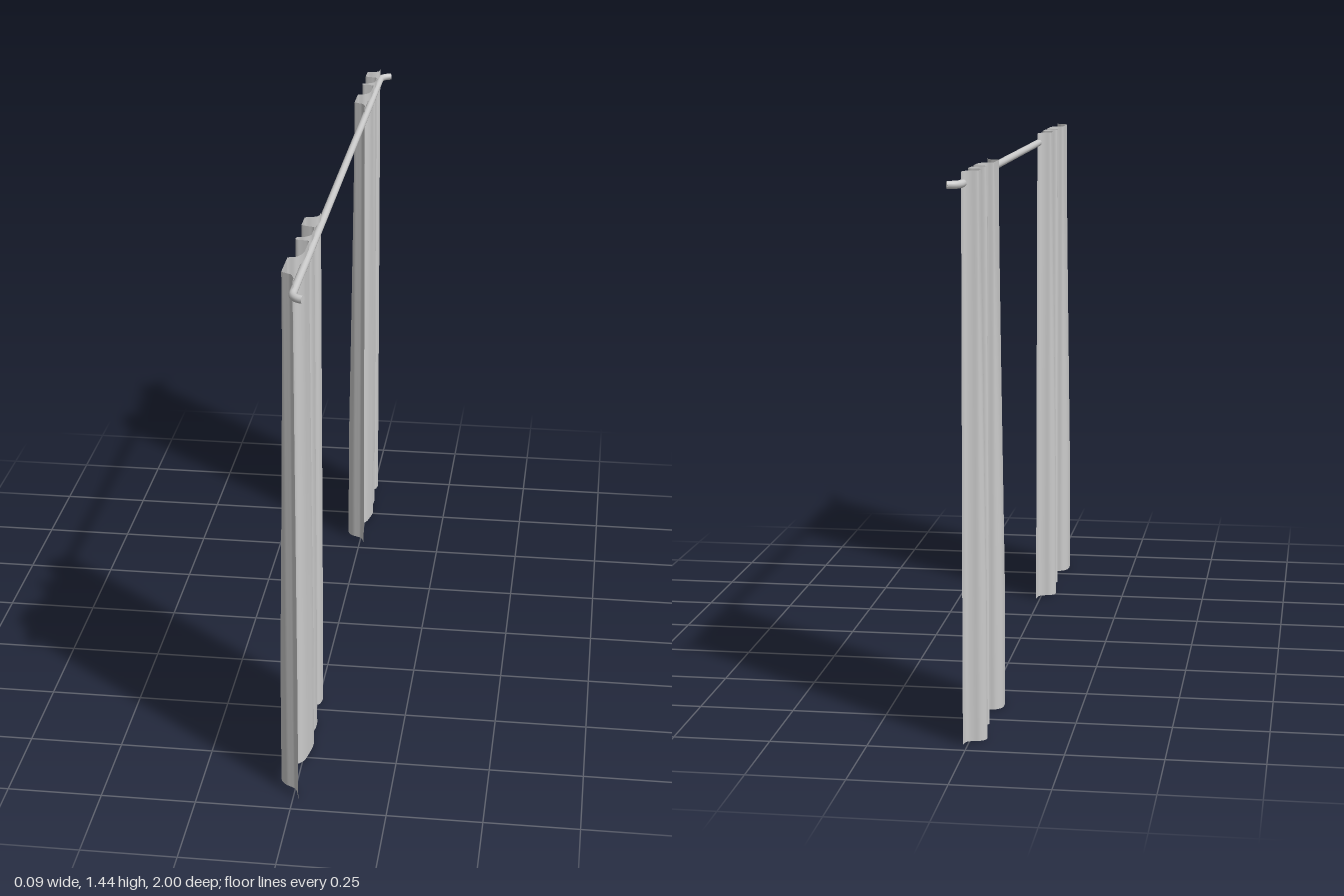
import * as THREE from 'three';

const material = new THREE.MeshStandardMaterial({ color: 0xcccccc, side: THREE.DoubleSide });
const HEIGHT = 1.44;

// Hem outline of one curtain as [z, x]: broad valleys with steep pleats
const hem = new THREE.CatmullRomCurve3([
  [0.95, 0.014], [0.925, 0.008], [0.905, 0], [0.897, -0.012], [0.888, -0.027],
  [0.87, -0.041], [0.835, -0.045], [0.805, -0.041], [0.787, -0.026], [0.782, -0.008],
  [0.765, 0.004], [0.725, 0.013], [0.685, 0.018], [0.664, 0.014], [0.658, -0.006],
  [0.655, -0.022], [0.645, -0.029], [0.637, -0.022], [0.633, -0.006], [0.62, 0.007],
  [0.585, 0.013], [0.558, 0.009], [0.551, -0.008], [0.543, -0.026], [0.525, -0.038],
  [0.5, -0.04], [0.484, -0.026], [0.479, -0.008], [0.47, 0.006], [0.44, 0.012],
].map(([z, x]) => new THREE.Vector3(x, 0, z)), false, 'centripetal');

// Hanging sheet: the pleats are pressed flatter towards the top
function curtain(name, zStart, zEnd) {
  const columns = 116;
  const geometry = new THREE.PlaneGeometry(1, 1, columns, 8);
  const pos = geometry.attributes.position;
  for (let i = 0; i < pos.count; i++) {
    const t = pos.getX(i) + 0.5;
    const v = pos.getY(i) + 0.5;
    const p = hem.getPoint(t);
    const pressed = THREE.MathUtils.clamp(p.x, -0.026, 0.01);
    const blend = THREE.MathUtils.clamp((v - 0.22) / 0.78, 0, 1);
    const z = THREE.MathUtils.mapLinear(p.z, 0.95, 0.44, zStart, zEnd);
    pos.setXYZ(i, THREE.MathUtils.lerp(p.x, pressed, blend), v * HEIGHT, z);
  }
  geometry.computeVertexNormals();
  const mesh = new THREE.Mesh(geometry, material);
  mesh.name = name;
  return mesh;
}

// Curtain rod with both ends bent towards the wall
function curtainRod() {
  const y = 1.41, x = 0.011, r = 0.01;
  const point = (px, pz) => new THREE.Vector3(px, y, pz);
  const path = new THREE.CurvePath();
  path.add(new THREE.LineCurve3(point(0.04, 0.99), point(0.034, 0.988)));
  path.add(new THREE.QuadraticBezierCurve3(point(0.034, 0.988), point(x, 0.98), point(x, 0.95)));
  path.add(new THREE.LineCurve3(point(x, 0.95), point(x, -0.95)));
  path.add(new THREE.QuadraticBezierCurve3(point(x, -0.95), point(x, -0.98), point(0.034, -0.988)));
  path.add(new THREE.LineCurve3(point(0.034, -0.988), point(0.04, -0.99)));
  const rod = new THREE.Group();
  rod.name = 'curtainRod';
  const tube = new THREE.Mesh(new THREE.TubeGeometry(path, 300, r, 12), material);
  tube.name = 'rodTube';
  rod.add(tube);
  for (const side of [1, -1]) {
    const cap = new THREE.Mesh(new THREE.CircleGeometry(r, 12), material);
    cap.name = 'rodEndCap';
    cap.position.set(0.04, y, side * 0.99);
    cap.rotation.y = Math.PI / 2 - side * 0.32;
    rod.add(cap);
  }
  return rod;
}

export function createModel() {
  const model = new THREE.Group();
  model.name = 'curtains';
  model.add(
    curtain('frontCurtain', 0.95, 0.44),
    curtain('backCurtain', -0.53, -0.96),
    curtainRod(),
  );
  return model;
}
